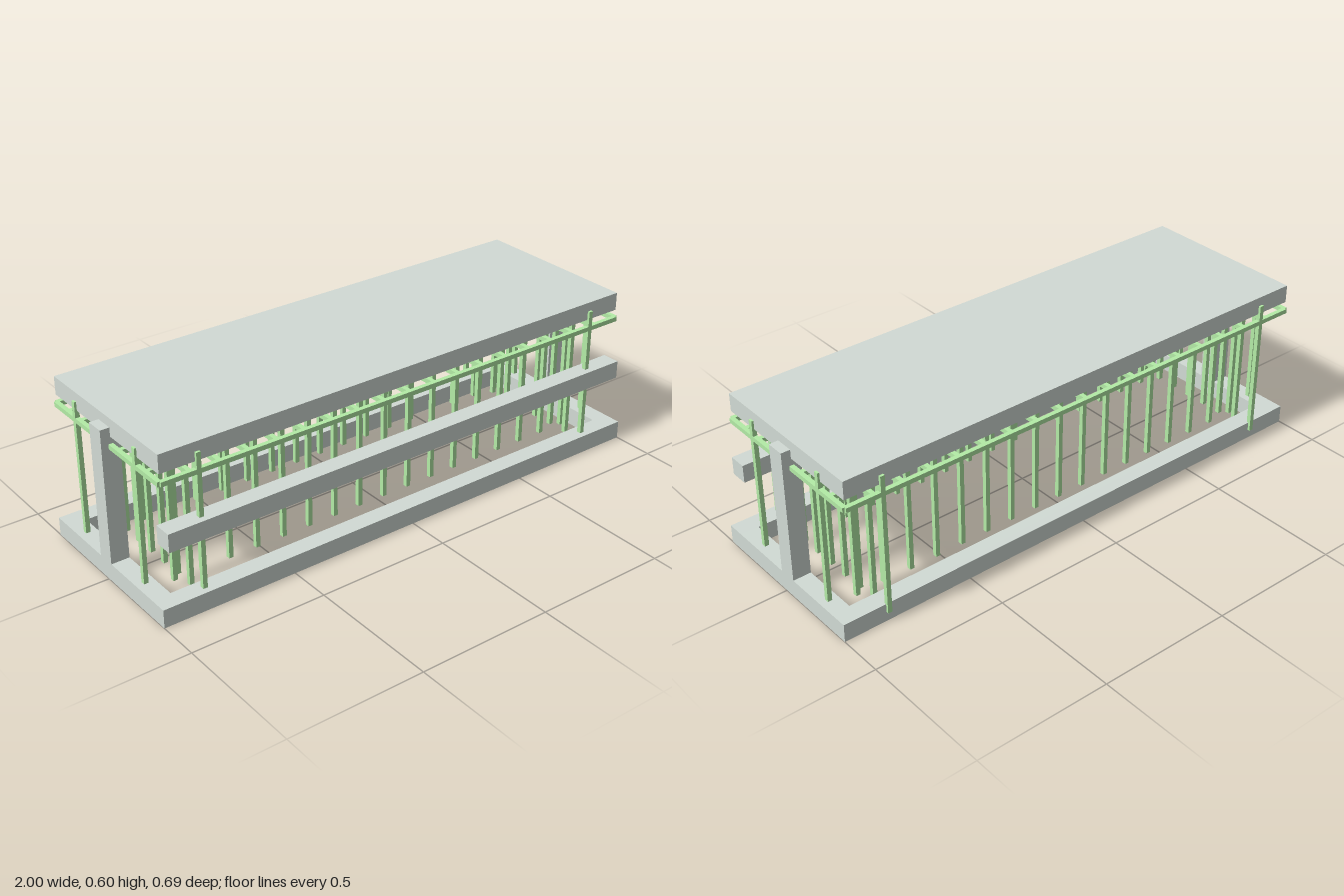
import * as THREE from 'three';

const grey = new THREE.MeshStandardMaterial({ color: 0xd2dbd5, flatShading: true });
const green = new THREE.MeshStandardMaterial({ color: 0xb4eca7, flatShading: true });

export function createModel() {
  const model = new THREE.Group();

  // Box given by its min and max corners
  function box(parent, name, material, [x0, y0, z0], [x1, y1, z1]) {
    const mesh = new THREE.Mesh(new THREE.BoxGeometry(x1 - x0, y1 - y0, z1 - z0), material);
    mesh.position.set((x0 + x1) / 2, (y0 + y1) / 2, (z0 + z1) / 2);
    mesh.name = name;
    parent.add(mesh);
  }
  function group(name) {
    const g = new THREE.Group();
    g.name = name;
    model.add(g);
    return g;
  }

  const T = 0.0675;                   // beam thickness
  const back = -0.334, front = 0.343;

  // Base frame, open in the middle
  const base = group('baseFrame');
  box(base, 'baseFront', grey, [-1, 0, front - T], [1, T, front]);
  box(base, 'baseBack', grey, [-1, 0, back], [1, T, back + T]);
  for (const s of [-1, 1]) {
    const c = s * (1 - T / 2);
    box(base, 'baseEnd', grey, [c - T / 2, 0, back + T], [c + T / 2, T, front - T]);
    box(model, 'endPost', grey, [c - T / 2, T, -0.046], [c + T / 2, 0.562, 0.022]);
  }

  // Top slab and front rail
  box(model, 'topSlab', grey, [-0.966, 0.529, back], [0.966, 0.596, 0.311]);
  box(model, 'frontRail', grey, [-0.966, 0.265, front - T], [0.966, 0.332, front]);

  // Horizontal mesh of thin bars below the slab
  const r = 0.0083, nx = 9, nz = 4;
  const gx = i => i * 0.1073;
  const gz = j => -0.0115 + j * 0.0808;
  const mesh = group('barMesh');
  for (let j = -nz; j <= nz; j++)
    box(mesh, 'longBar', green, [gx(-nx), 0.487, gz(j) - r], [gx(nx), 0.504, gz(j) + r]);
  for (let i = -nx; i <= nx; i++)
    box(mesh, 'crossBar', green, [gx(i) - r, 0.487, gz(-nz)], [gx(i) + r, 0.504, gz(nz)]);

  // Upright bars: two long rows and two short rows that cross near the corners
  const cage = group('uprightBars');
  const upright = (name, x, z) =>
    box(cage, name, green, [x - r, 0.035, z - r], [x + r, 0.562, z + r]);
  for (const s of [-1, 1]) {
    for (let i = -nx; i <= nx; i++) upright('longRowBar', gx(i), -0.0115 + s * 0.1875);
    for (let j = -nz; j <= nz; j++) upright('shortRowBar', s * 0.83, gz(j));
  }

  return model;
}
